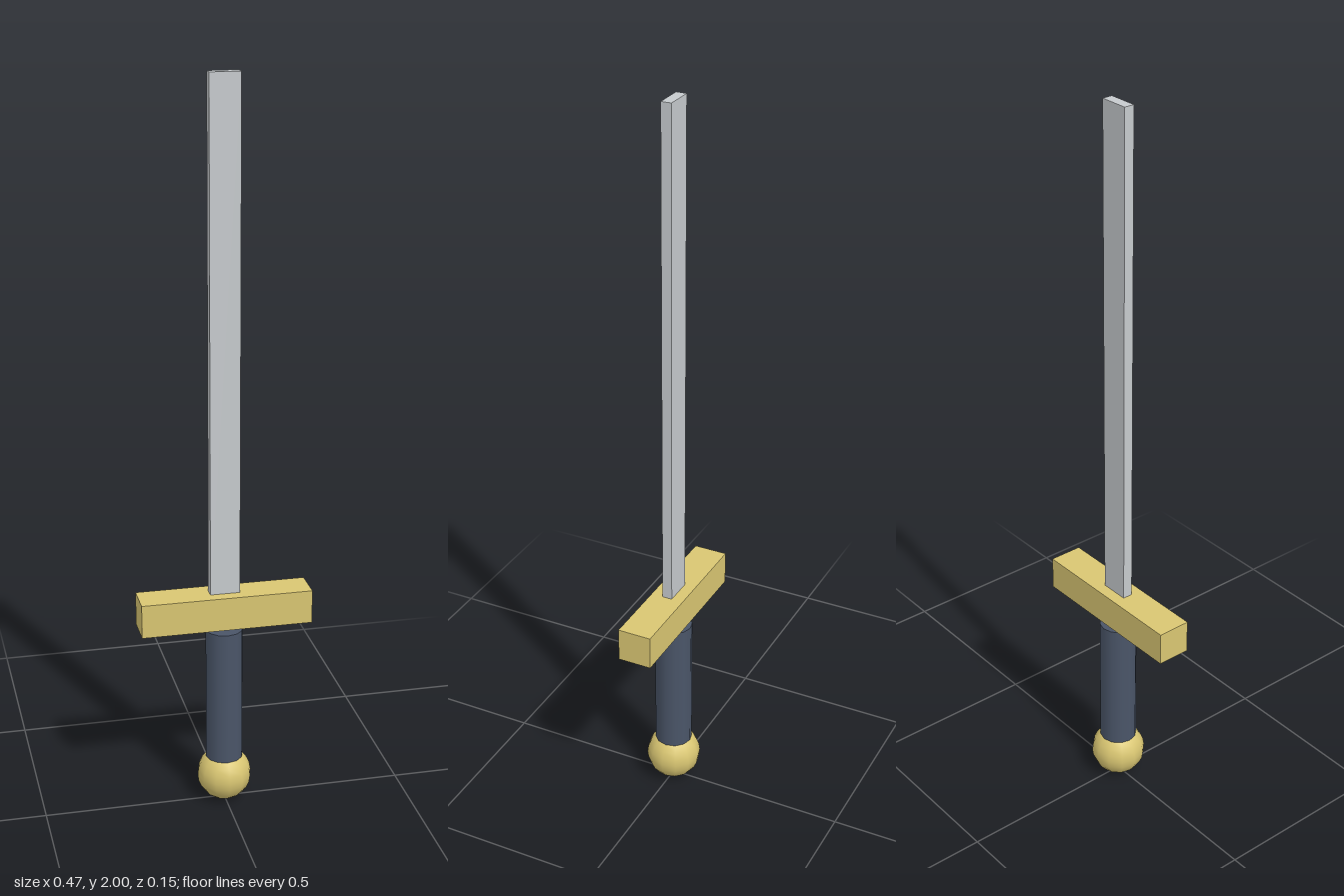
import * as THREE from 'three';

const steel = new THREE.MeshStandardMaterial({ color: 0xc6cacd });
const gold = new THREE.MeshStandardMaterial({ color: 0xd9c672 });
const leather = new THREE.MeshStandardMaterial({ color: 0x4a5568 });

export function createModel() {
  const sword = new THREE.Group();
  sword.name = 'sword';

  const add = (name, geometry, material, y) => {
    const mesh = new THREE.Mesh(geometry, material);
    mesh.name = name;
    mesh.position.y = y;
    sword.add(mesh);
  };

  // Flat bar blade, its foot sunk slightly into the guard
  const bladeFoot = 0.61;
  add('blade', new THREE.BoxGeometry(0.081, 2 - bladeFoot, 0.028), steel, (2 + bladeFoot) / 2);

  // Crossguard, a hair's breadth above the grip
  add('crossguard', new THREE.BoxGeometry(0.466, 0.093, 0.093), gold, 0.575);

  // Twelve-sided grip reaching into the pommel
  const gripTop = 0.514, gripFoot = 0.11;
  add('grip', new THREE.CylinderGeometry(0.051, 0.051, gripTop - gripFoot, 12), leather, (gripTop + gripFoot) / 2);

  // Round pommel
  add('pommel', new THREE.SphereGeometry(0.075, 12, 12), gold, 0.075);

  return sword;
}
